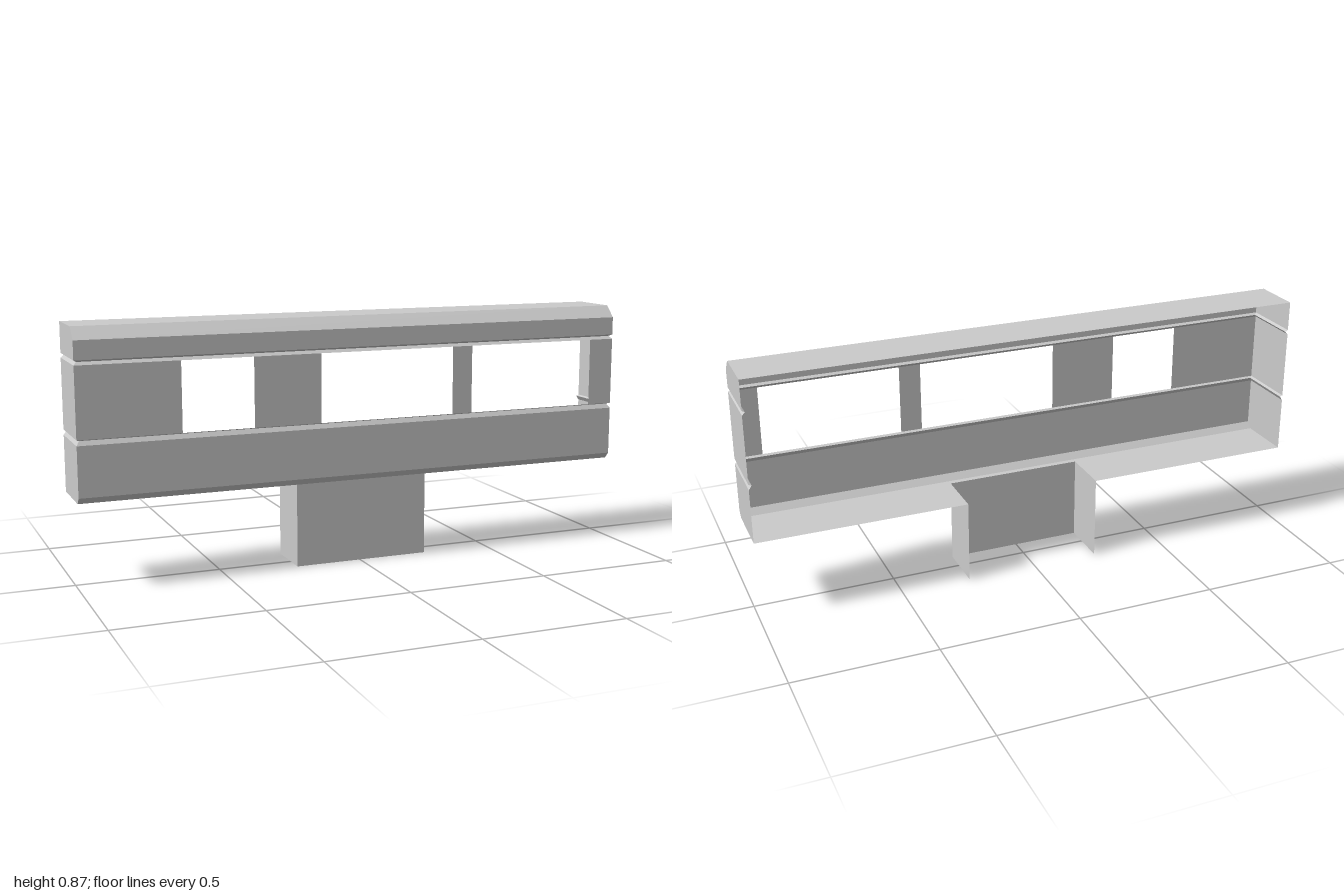
import * as THREE from 'three';

const BACK = -0.11;
const material = new THREE.MeshStandardMaterial({ color: 0xcccccc, flatShading: true, side: THREE.DoubleSide });

// Build one mesh from quads; corners run counter-clockwise seen from outside
function sheet(name, quads) {
  const positions = [];
  for (const [a, b, c, d] of quads) positions.push(...a, ...b, ...c, ...a, ...c, ...d);
  const geometry = new THREE.BufferGeometry();
  geometry.setAttribute('position', new THREE.Float32BufferAttribute(positions, 3));
  geometry.computeVertexNormals();
  const mesh = new THREE.Mesh(geometry, material);
  mesh.name = name;
  return mesh;
}

// Front strip between two stations [y, front z, half width], lower station first
const front = ([y0, z0, w0], [y1, z1, w1]) =>
  [[-w0, y0, z0], [w0, y0, z0], [w1, y1, z1], [-w1, y1, z1]];

// End walls on both sides of a strip, reaching the open back
const ends = ([y0, z0, w0], [y1, z1, w1]) => [
  [[w0, y0, z0], [w0, y0, BACK], [w1, y1, BACK], [w1, y1, z1]],
  [[-w0, y0, BACK], [-w0, y0, z0], [-w1, y1, z1], [-w1, y1, BACK]],
];

// Upright panel facing the front
const panel = (x0, x1, y0, y1, z) => [[x0, y0, z], [x1, y0, z], [x1, y1, z], [x0, y1, z]];

// Level plate facing up
const plate = (x0, x1, y, z0, z1) => [[x0, y, z1], [x1, y, z1], [x1, y, z0], [x0, y, z0]];

// Shell strips following a list of stations
function band(name, stations) {
  const quads = [];
  for (let i = 0; i < stations.length - 1; i++) {
    quads.push(front(stations[i], stations[i + 1]), ...ends(stations[i], stations[i + 1]));
  }
  return sheet(name, quads);
}

export function createModel() {
  const model = new THREE.Group();
  model.name = 'hollowFacade';
  const bottom = 0.298, top = 0.873, stemL = -0.237, stemR = 0.252, stemZ = 0.07;
  const sill = 0.511, lintel = 0.752;

  // Lower beam with chamfered foot, and the groove above it
  model.add(band('lowerBeam', [[bottom, 0.09, 1], [0.32, 0.11, 1], [0.492, 0.11, 1]]));
  model.add(band('lowerGroove', [[0.492, 0.11, 1], [0.507, 0.1, 0.99], [sill, 0.11, 1]]));

  // Window row: four piers and the two end walls
  const piers = [[-1, -0.65], [-0.4, -0.16], [0.34, 0.416], [0.905, 1]];
  model.add(sheet('windowPiers', piers.map(([a, b]) => panel(a, b, sill, lintel, 0.11))));
  model.add(sheet('windowEndWalls', ends([sill, 0.11, 1], [lintel, 0.11, 1])));

  // Upper groove and chamfered top beam
  model.add(band('upperGroove', [[lintel, 0.11, 1], [0.762, 0.1, 0.99], [0.768, 0.11, 1]]));
  model.add(band('topBeam', [[0.768, 0.11, 1], [0.832, 0.11, 1], [top, 0.07, 1]]));
  model.add(sheet('roof', [plate(-1, 1, top, BACK, 0.07)]));

  // Underside, cut out behind the stem (corners reversed to face down)
  model.add(sheet('underside', [
    plate(-1, stemL, bottom, BACK, 0.09).reverse(),
    plate(stemR, 1, bottom, BACK, 0.09).reverse(),
    plate(stemL, stemR, bottom, stemZ, 0.09).reverse(),
  ]));

  // Stem: front and two side walls, open at back and bottom
  model.add(sheet('stem', [
    panel(stemL, stemR, 0, bottom, stemZ),
    [[stemR, 0, stemZ], [stemR, 0, BACK], [stemR, bottom, BACK], [stemR, bottom, stemZ]],
    [[stemL, 0, BACK], [stemL, 0, stemZ], [stemL, bottom, stemZ], [stemL, bottom, BACK]],
  ]));
  return model;
}
